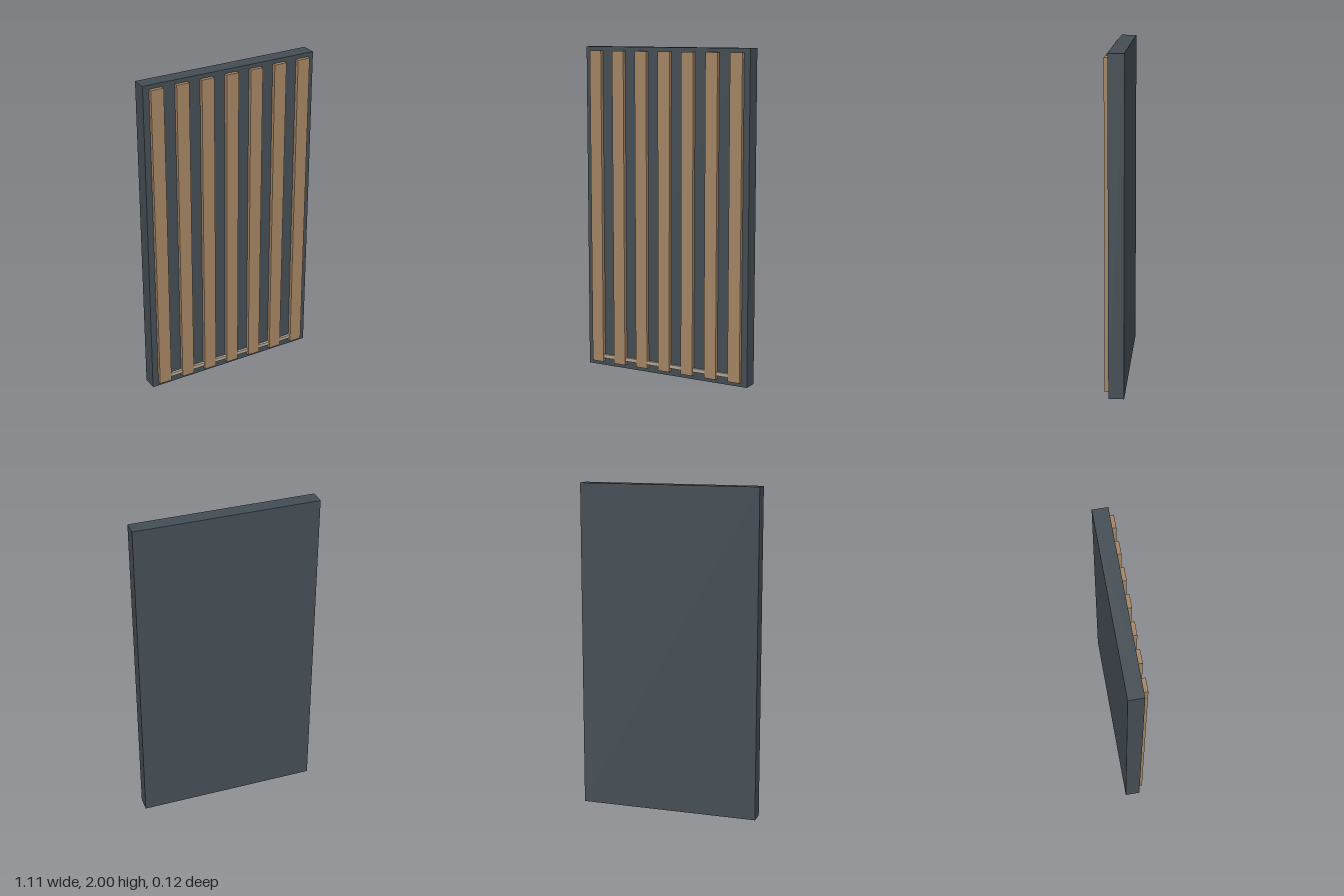
import * as THREE from 'three';

const paint = (color) => new THREE.MeshStandardMaterial({ color });

// Box given by its lower and upper corners
function box(name, [x0, y0, z0], [x1, y1, z1], material) {
  const mesh = new THREE.Mesh(new THREE.BoxGeometry(x1 - x0, y1 - y0, z1 - z0), material);
  mesh.position.set((x0 + x1) / 2, (y0 + y1) / 2, (z0 + z1) / 2);
  mesh.name = name;
  return mesh;
}

export function createModel() {
  const model = new THREE.Group();
  model.name = 'slattedPanel';
  const dark = paint(0x444d54);
  const wood = paint(0xa38463);
  const pale = paint(0xb3a590);

  // Backing panel
  model.add(box('backPanel', [-0.555, 0, -0.058], [0.555, 2, 0.034], dark));

  // Seven upright slats on the front
  const slats = new THREE.Group();
  slats.name = 'slats';
  const pitch = 0.159, half = 0.0395;
  for (let i = -3; i <= 3; i++) {
    const x = i * pitch;
    slats.add(box('slat', [x - half, 0.027, 0.034], [x + half, 1.975, 0.058], wood));
  }
  model.add(slats);

  // Thin rail running through the slats near the bottom
  model.add(box('bottomRail', [-0.476, 0.051, 0.037], [0.476, 0.073, 0.053], pale));

  return model;
}
